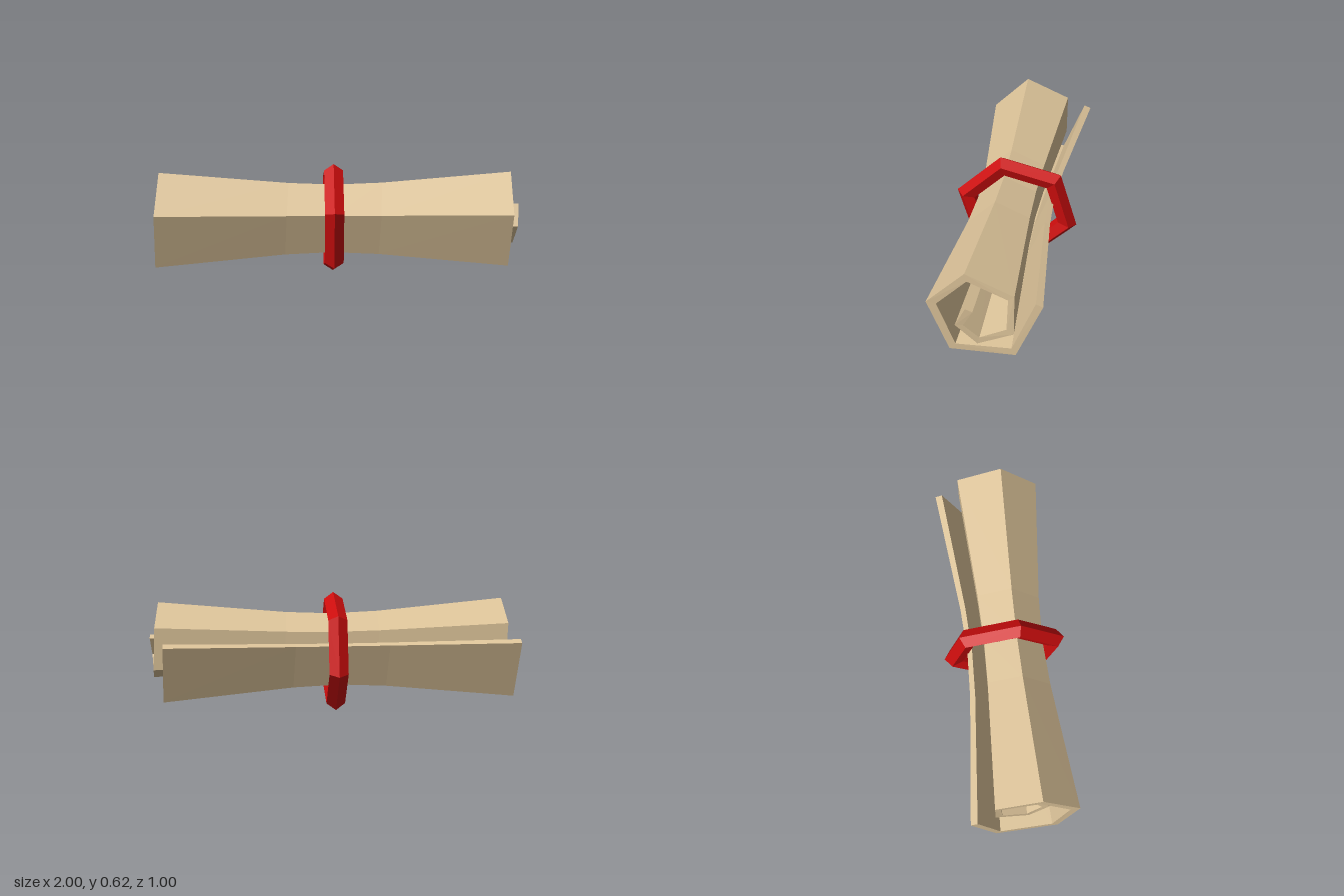
import * as THREE from 'three';

const paper = new THREE.MeshStandardMaterial({ color: 0xdcc399 });
paper.name = 'parchment';
const red = new THREE.MeshStandardMaterial({ color: 0xcc0d0d });
red.name = 'red band';

const CENTRE_Y = 0.326;

// Spiral sheet section as [z, y], from the loose flap to the core
const outer = [
  [-0.289, 0.39], [-0.157, 0.075], [0.174, 0.08], [0.281, 0.372], [0.084, 0.575],
  [-0.158, 0.475], [-0.156, 0.25], [0.022, 0.175], [0.13, 0.285], [0.075, 0.4],
];
const inner = [
  [-0.253, 0.405], [-0.136, 0.115], [0.143, 0.115], [0.23, 0.366], [0.074, 0.53],
  [-0.127, 0.45], [-0.12, 0.275], [0.012, 0.215], [0.089, 0.29], [0.039, 0.385],
];

// Stations along the roll: [x, scale], pinched at the middle
const stations = [[-0.94, 1], [-0.25, 0.76], [0, 0.72], [0.25, 0.76], [0.94, 1]];

function rolledSheet() {
  const positions = [];
  // Each turn of the sheet slides a little further along the roll
  const place = ([z, y], turn, [x, k]) => [
    x - 0.014 + 0.0095 * turn, CENTRE_Y + (y - CENTRE_Y) * k, z * k,
  ];
  const quad = (a, b, c, d) => positions.push(...a, ...b, ...c, ...a, ...c, ...d);

  const rings = stations.map((s) => ({
    out: outer.map((p, i) => place(p, i, s)),
    inn: inner.map((p, i) => place(p, i, s)),
  }));

  // Long faces of the sheet
  for (let k = 0; k < rings.length - 1; k++) {
    const a = [...rings[k].out, ...rings[k].inn.slice().reverse()];
    const b = [...rings[k + 1].out, ...rings[k + 1].inn.slice().reverse()];
    for (let i = 0; i < a.length; i++) {
      const j = (i + 1) % a.length;
      quad(a[i], b[i], b[j], a[j]);
    }
  }

  // Paper edge at both ends
  const first = rings[0];
  const last = rings[rings.length - 1];
  for (let i = 0; i < outer.length - 1; i++) {
    quad(first.out[i], first.out[i + 1], first.inn[i + 1], first.inn[i]);
    quad(last.out[i], last.inn[i], last.inn[i + 1], last.out[i + 1]);
  }

  const geometry = new THREE.BufferGeometry();
  geometry.setAttribute('position', new THREE.Float32BufferAttribute(positions, 3));
  geometry.computeVertexNormals();
  return geometry;
}

// Hexagonal band with a five-sided section
function hexBand() {
  const geometry = new THREE.TorusGeometry(0.268, 0.053, 5, 6)
    .rotateZ(0.25)
    .rotateY(-Math.PI / 2)
    .scale(1, 1, 1.05)
    .toNonIndexed();
  geometry.computeVertexNormals();
  return geometry;
}

export function createModel() {
  const model = new THREE.Group();
  model.name = 'tiedScroll';

  const scroll = new THREE.Mesh(rolledSheet(), paper);
  scroll.name = 'rolledParchment';

  const band = new THREE.Mesh(hexBand(), red);
  band.name = 'band';
  band.position.set(0.015, 0.31, -0.008);

  // The roll lies at a slight angle
  const roll = new THREE.Group();
  roll.name = 'roll';
  roll.add(scroll, band);
  roll.rotation.y = 0.244;
  model.add(roll);
  return model;
}
